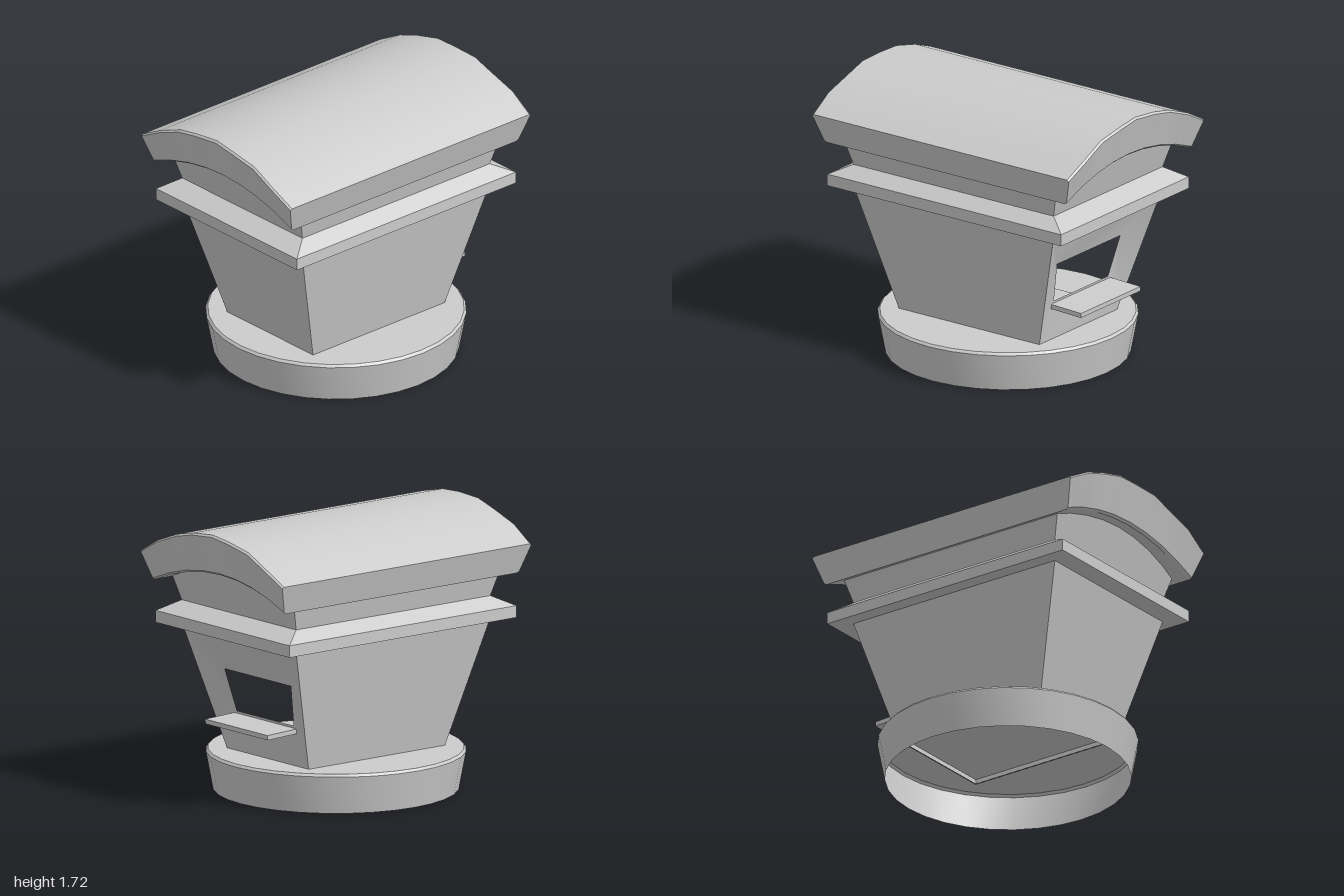
import * as THREE from 'three';
import { toCreasedNormals } from 'three/addons/utils/BufferGeometryUtils.js';

const material = new THREE.MeshStandardMaterial({ color: 0xcccccc });
const openMaterial = new THREE.MeshStandardMaterial({ color: 0xcccccc, side: THREE.DoubleSide });

function addMesh(group, name, geometry, mat = material) {
  const mesh = new THREE.Mesh(geometry, mat);
  mesh.name = name;
  group.add(mesh);
  return mesh;
}

// Corners of a level rectangle, counter-clockwise seen from above
const rectangle = (x, y, z) => [[-x, y, z], [x, y, z], [x, y, -z], [-x, y, -z]];

// Level sheet of the given half sizes
const sheet = (x, y, z) => new THREE.PlaneGeometry(2 * x, 2 * z).rotateX(-Math.PI / 2).translate(0, y, 0);

// Joins consecutive closed rings with quads
function ringQuads(rings, skip = () => false) {
  const out = [];
  for (let r = 0; r + 1 < rings.length; r++) {
    const a = rings[r], b = rings[r + 1], n = a.length;
    for (let i = 0; i < n; i++) {
      if (skip(i)) continue;
      const j = (i + 1) % n;
      out.push(a[i], a[j], b[j], a[i], b[j], b[i]);
    }
  }
  return out;
}

function fromPoints(points, crease = 0.5) {
  const g = new THREE.BufferGeometry();
  g.setAttribute('position', new THREE.Float32BufferAttribute(points.flat(), 3));
  return toCreasedNormals(g, crease);
}

function createRoof() {
  // Cross-sections across the arch; the gable ends lean in towards the bottom
  const rings = [];
  for (let i = 4; i >= -4; i--) {
    const t = i / 4;
    const reach = i % 2 ? 1 : 0.987;
    const at = (u, z) => [
      THREE.MathUtils.lerp(0.635, 0.69, u) * t,
      THREE.MathUtils.lerp(1.46 - 0.135 * t * t, 1.72 - 0.21 * t * t, u),
      z,
    ];
    const half = [[0, 0.915], [0.05, 0.932], [0.95, reach], [1, reach - 0.012]];
    rings.push([
      ...half.map(([u, z]) => at(u, z)),
      ...half.slice().reverse().map(([u, z]) => at(u, -z)),
    ]);
  }
  const points = ringQuads(rings);
  // Side caps
  const right = rings[0], left = rings[rings.length - 1];
  for (let i = 1; i < right.length - 1; i++) {
    points.push(right[0], right[i + 1], right[i]);
    points.push(left[0], left[i], left[i + 1]);
  }
  return fromPoints(points);
}

export function createModel() {
  const group = new THREE.Group();
  const sides = 32;

  // Hollow round base with a thin flared wall
  const profile = [[0.757, 0], [0.802, 0.238], [0.788, 0.254]]
    .map(([x, y]) => new THREE.Vector2(x, y));
  addMesh(group, 'baseWall', toCreasedNormals(new THREE.LatheGeometry(profile, sides), 0.5), openMaterial);

  // Base top, cut out under the body
  const disc = new THREE.Shape();
  for (let i = 0; i < sides; i++) {
    const a = (i / sides) * Math.PI * 2;
    disc[i ? 'lineTo' : 'moveTo'](0.788 * Math.cos(a), 0.788 * Math.sin(a));
  }
  disc.closePath();
  disc.holes.push(new THREE.Path(
    [[-0.395, -0.54], [-0.395, 0.54], [0.395, 0.54], [0.395, -0.54]].map(([x, y]) => new THREE.Vector2(x, y))));
  const top = new THREE.ShapeGeometry(disc).rotateX(-Math.PI / 2).translate(0, 0.254, 0);
  addMesh(group, 'baseTop', top, openMaterial);

  // Raised floor inside the body with its short skirt, and the ceiling
  addMesh(group, 'floor', sheet(0.395, 0.285, 0.54), openMaterial);
  addMesh(group, 'floorSkirt',
    fromPoints(ringQuads([rectangle(0.392, 0.254, 0.537), rectangle(0.395, 0.285, 0.54)])), openMaterial);
  addMesh(group, 'ceiling', sheet(0.55, 1.05, 0.765), openMaterial);

  // Flared body: three flat walls, the back one left out
  const low = rectangle(0.395, 0.25, 0.54), high = rectangle(0.555, 1.05, 0.77);
  addMesh(group, 'bodyWalls', fromPoints(ringQuads([low, high], i => i === 2)));

  // Back wall funnels inwards to the entrance
  const outer = [low[2], low[3], high[3], high[2]];
  const hole = [[0.275, 0.51, -0.56], [-0.275, 0.51, -0.56], [-0.32, 0.775, -0.62], [0.32, 0.775, -0.62]];
  addMesh(group, 'backWall', fromPoints(ringQuads([outer, hole]), 1));

  // Landing ledge under the entrance
  const ledge = addMesh(group, 'landingLedge', new THREE.BoxGeometry(0.605, 0.03, 0.235));
  ledge.position.set(0, 0.475, -0.672);
  ledge.rotation.x = -0.04;

  // Projecting band and the neck under the roof
  addMesh(group, 'band', fromPoints(ringQuads([
    rectangle(0.55, 1.05, 0.765), rectangle(0.65, 1.05, 0.9),
    rectangle(0.65, 1.125, 0.9), rectangle(0.555, 1.19, 0.77),
  ])));
  addMesh(group, 'neck', fromPoints(ringQuads([
    rectangle(0.555, 1.19, 0.77), rectangle(0.622, 1.48, 0.855),
  ])));

  addMesh(group, 'roof', createRoof());
  return group;
}
